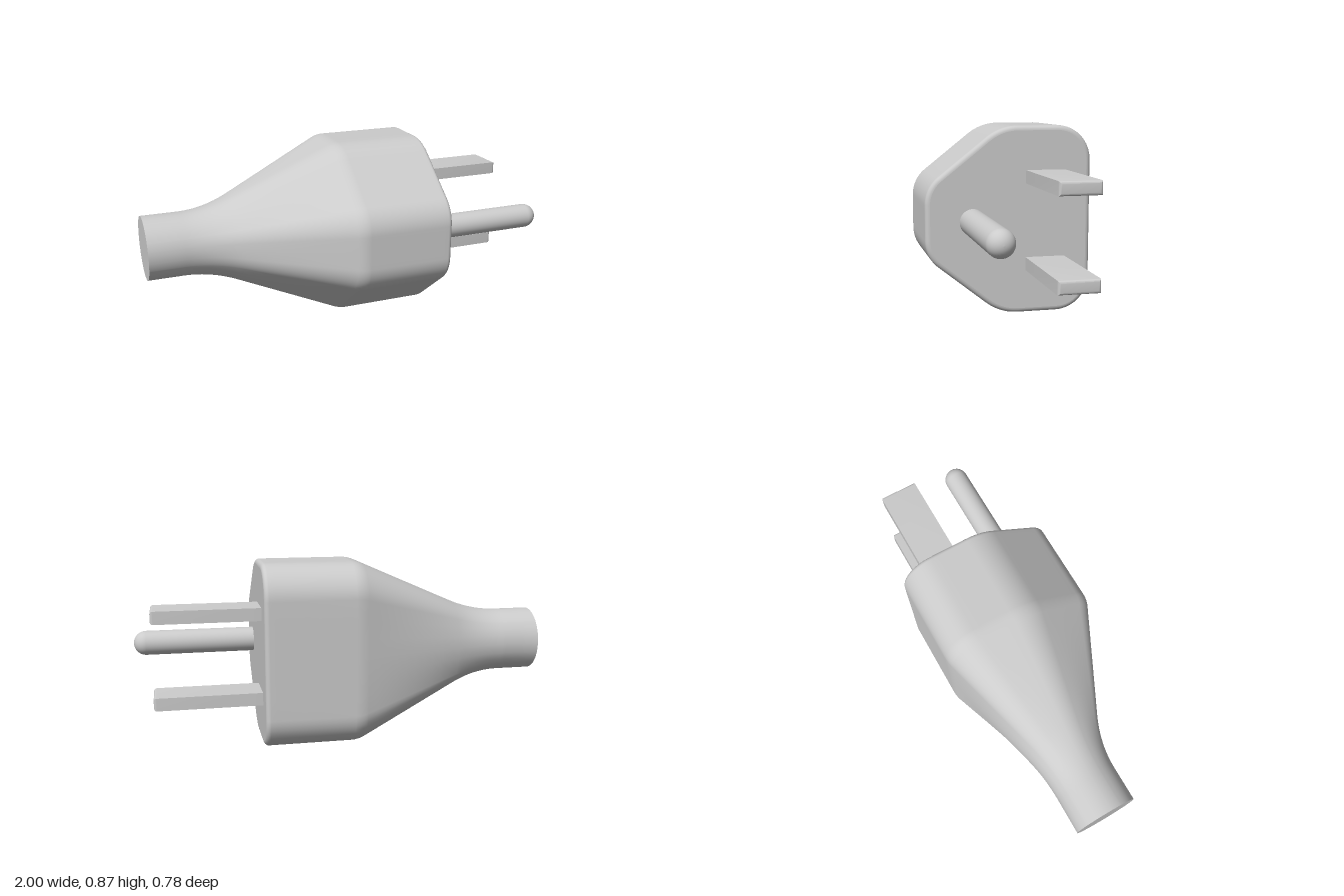
import * as THREE from 'three';
import { toCreasedNormals } from 'three/addons/utils/BufferGeometryUtils.js';

const MID = 0.438;                       // height of the plug's axis
const CABLE = { u: 0.08, r: 0.155 };     // cable centre (u = -z) and radius
const EDGE = 0.022;                      // rounding of the front face
const FACE = 0.4;                        // x of the front face

// Rounded six-sided outline: arcs [u, y, radius, start, end], joined by flats
function outline() {
  const arcs = [
    [0.23, -0.277, 0.16, -90, 0], [0.23, 0.277, 0.16, 0, 90],
    [0.043, 0.197, 0.24, 90, 128.5], [-0.23, 0.082, 0.16, 128.5, 180],
    [-0.23, -0.082, 0.16, 180, 231.5], [0.043, -0.197, 0.24, 231.5, 270],
  ];
  const arcPoint = ([u, y, r, a0, a1], t) => {
    const a = THREE.MathUtils.degToRad(a0 + (a1 - a0) * t);
    const n = new THREE.Vector2(Math.cos(a), Math.sin(a));
    return { p: new THREE.Vector2(u, y).addScaledVector(n, r), n };
  };
  const points = [];
  arcs.forEach((arc, i) => {
    for (let k = 0; k <= 10; k++) points.push(arcPoint(arc, k / 10));
    const a = arcPoint(arc, 1), b = arcPoint(arcs[(i + 1) % arcs.length], 0);
    for (let k = 1; k < 6; k++) points.push({ p: a.p.clone().lerp(b.p, k / 6), n: a.n });
  });
  return points;
}

// Ramp that bends softly from flat to sloped around d = 0
const bend = (d, w) => (d < -w ? 0 : d > w ? d : (d + w) ** 2 / (4 * w));
const flare = (x) => (bend(x + 0.7, 0.13) - bend(x + 0.055, 0.03)) / 0.645;

// Loft from the round cable to the rounded outline
function bodyGeometry() {
  const section = outline(), n = section.length;
  const stations = [[-1, 0], [-0.9, 0]];
  for (let k = 0; k <= 12; k++) stations.push([-0.83 + 0.26 * k / 12, 0]);
  for (let k = 1; k <= 10; k++) stations.push([-0.57 + 0.485 * k / 10, 0]);
  for (let k = 1; k <= 8; k++) stations.push([-0.085 + 0.06 * k / 8, 0]);
  stations.push([0.15, 0], [0.35, 0]);
  for (let k = 0; k <= 6; k++) {
    const a = (k / 6) * Math.PI / 2;
    stations.push([FACE - EDGE + EDGE * Math.sin(a), EDGE * (1 - Math.cos(a))]);
  }
  const pos = [], index = [];
  const ring = ([x, inset]) => {
    const t = flare(x);
    for (const s of section) {
      const a = Math.atan2(s.p.y, s.p.x - CABLE.u);
      const u = THREE.MathUtils.lerp(CABLE.u + CABLE.r * Math.cos(a), s.p.x - s.n.x * inset, t);
      const y = THREE.MathUtils.lerp(CABLE.r * Math.sin(a), s.p.y - s.n.y * inset, t);
      pos.push(x, MID + y, -u);
    }
  };
  stations.forEach(ring);
  for (let i = 0; i < stations.length - 1; i++) {
    for (let j = 0; j < n; j++) {
      const k = (j + 1) % n, lo = i * n, hi = lo + n;
      index.push(lo + j, lo + k, hi + k, lo + j, hi + k, hi + j);
    }
  }
  // Flat end caps with their own vertices
  for (const front of [false, true]) {
    const station = front ? stations[stations.length - 1] : stations[0];
    const base = pos.length / 3;
    ring(station);
    pos.push(station[0], MID, -CABLE.u);
    for (let j = 0; j < n; j++) {
      const k = (j + 1) % n;
      index.push(base + n, base + (front ? j : k), base + (front ? k : j));
    }
  }
  const g = new THREE.BufferGeometry();
  g.setAttribute('position', new THREE.Float32BufferAttribute(pos, 3));
  g.setIndex(index);
  g.computeVertexNormals();
  return g;
}

// Flat blade whose outer end is rounded over
function bladeGeometry(length, thick, width) {
  const r = 0.013, steps = 5;
  const g = new THREE.BoxGeometry(steps + 1, thick, width, steps + 1, 1, 1);
  const p = g.attributes.position;
  for (let i = 0; i < p.count; i++) {
    const k = Math.round(p.getX(i) + (steps + 1) / 2);
    const a = (Math.max(k - 1, 0) / steps) * Math.PI / 2;
    const inset = r * (1 - Math.cos(a));
    p.setXYZ(i, k === 0 ? 0 : length - r + r * Math.sin(a),
      p.getY(i) - Math.sign(p.getY(i)) * inset,
      p.getZ(i) - Math.sign(p.getZ(i)) * inset);
  }
  return toCreasedNormals(g, 0.6);
}

// Round pin with a domed tip, turned to point along +x
function pinGeometry(length, r) {
  const profile = [new THREE.Vector2(r, 0)];
  for (let k = 0; k <= 10; k++) {
    const a = (k / 10) * Math.PI / 2;
    profile.push(new THREE.Vector2(k === 10 ? 0 : r * Math.cos(a), length - r + r * Math.sin(a)));
  }
  return new THREE.LatheGeometry(profile, 40).rotateZ(-Math.PI / 2);
}

export function createModel() {
  const group = new THREE.Group();
  group.name = 'plug';
  const material = new THREE.MeshStandardMaterial({ color: 0xcccccc });
  const add = (name, geometry, x = 0, y = 0, z = 0) => {
    const mesh = new THREE.Mesh(geometry, material);
    mesh.name = name;
    mesh.position.set(x, y, z);
    group.add(mesh);
  };

  add('body', bodyGeometry());

  // Prongs start slightly inside the body
  const root = FACE - 0.02;
  add('groundPin', pinGeometry(1 - root, 0.061), root, MID, 0.172);
  for (const [name, side] of [['upperBlade', 1], ['lowerBlade', -1]]) {
    add(name, bladeGeometry(0.905 - root, 0.061, 0.187), root, MID + side * 0.203, -0.17);
  }
  return group;
}
